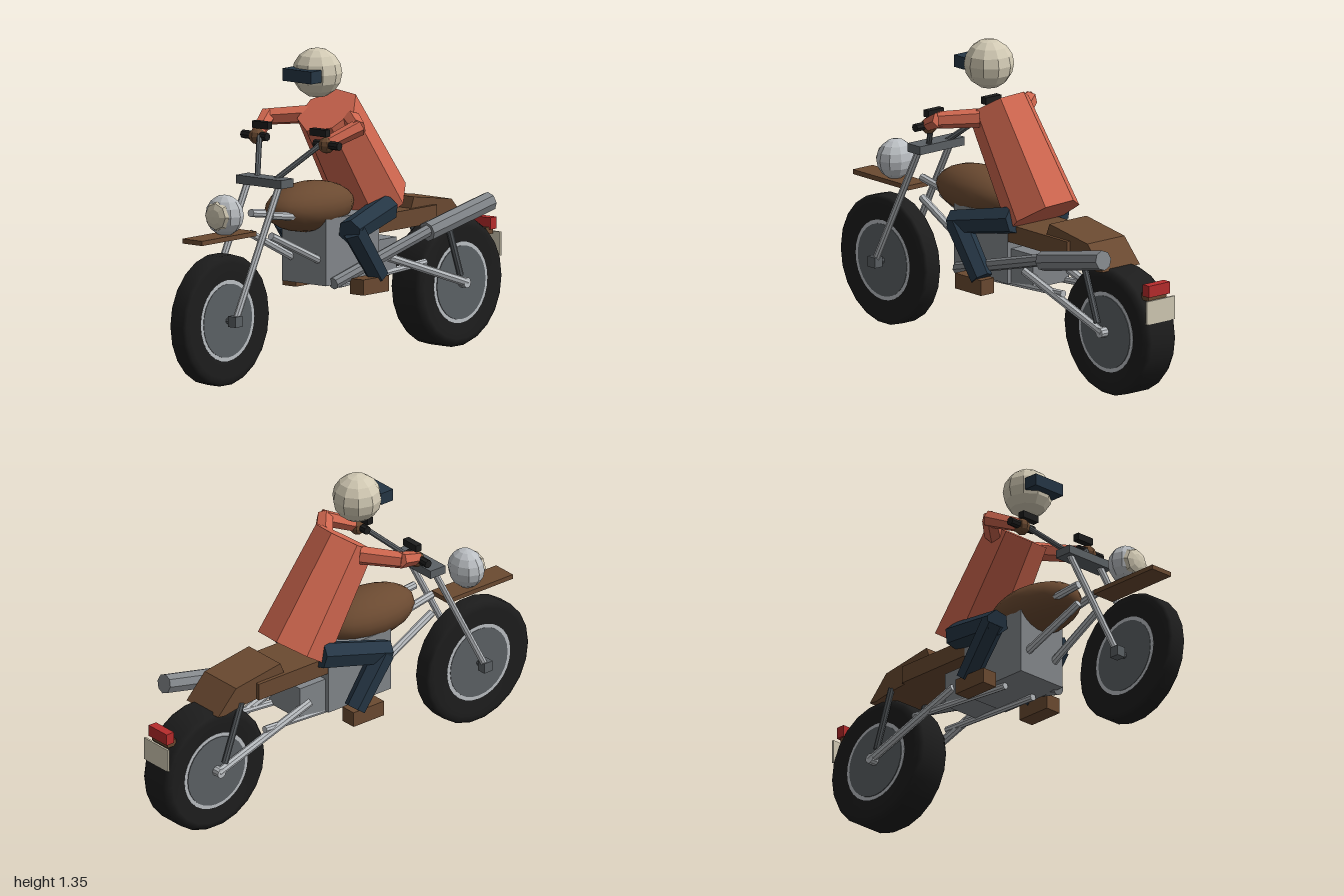
import * as THREE from 'three';

const mat = (name, color) => {
  const m = new THREE.MeshStandardMaterial({ color });
  m.name = name;
  return m;
};

export function createModel() {
  const black = mat('black rubber', 0x1d1d1d), chrome = mat('chrome', 0xbcc0c4),
    grey = mat('engine grey', 0x83878b), steel = mat('dark steel', 0x5c6165),
    brown = mat('brown', 0x6b4a31), orange = mat('orange cloth', 0xd0674f),
    navy = mat('navy cloth', 0x253645), cream = mat('cream', 0xd2cab4), red = mat('red', 0xb82c2c);

  const model = new THREE.Group();
  const V = (x, y, z) => new THREE.Vector3(x, y, z);

  // Adds a mesh; faceted parts get one normal per face
  function add(name, geo, material, pos = [0, 0, 0], smooth = false) {
    if (!smooth) {
      geo = geo.index ? geo.toNonIndexed() : geo;
      geo.computeVertexNormals();
    }
    const mesh = new THREE.Mesh(geo, material);
    mesh.name = name;
    mesh.position.set(...pos);
    model.add(mesh);
    return mesh;
  }
  const box = (name, size, pos, material) => add(name, new THREE.BoxGeometry(...size), material, pos);

  // Cylinder from point a to point b
  function rod(name, a, b, ra, rb, sides, material, turn = 0) {
    const p = V(...a), q = V(...b), dir = q.clone().sub(p);
    const geo = new THREE.CylinderGeometry(rb, ra, dir.length(), sides).rotateY(turn);
    const mesh = add(name, geo, material, p.clone().add(q).multiplyScalar(0.5).toArray());
    mesh.quaternion.setFromUnitVectors(V(0, 1, 0), dir.normalize());
    return mesh;
  }

  // Wheels: tyre, bright rim and dark disc
  function wheel(name, y, z, r, w) {
    const profile = [[0.168, -w * 0.92], [r - 0.035, -w], [r - 0.012, -w * 0.95], [r, -w * 0.72],
      [r, w * 0.72], [r - 0.012, w * 0.95], [r - 0.035, w], [0.168, w * 0.92]]
      .map(([px, py]) => new THREE.Vector2(px, py));
    add(name + 'Tyre', new THREE.LatheGeometry(profile, 22).rotateZ(Math.PI / 2), black, [0, y, z], true);
    add(name + 'Rim', new THREE.CylinderGeometry(0.171, 0.171, w * 1.88, 28).rotateZ(Math.PI / 2), chrome, [0, y, z]);
    add(name + 'Disc', new THREE.CylinderGeometry(0.155, 0.155, w * 1.96, 28).rotateZ(Math.PI / 2), steel, [0, y, z]);
  }
  wheel('frontWheel', 0.282, 0.724, 0.276, 0.046);
  wheel('rearWheel', 0.273, -0.728, 0.272, 0.082);
  rod('frontAxle', [-0.1, 0.282, 0.724], [0.1, 0.282, 0.724], 0.014, 0.014, 8, steel);
  rod('rearAxle', [-0.115, 0.275, -0.728], [0.115, 0.275, -0.728], 0.022, 0.022, 10, chrome);

  // Steering head and front fender
  box('forkClamp', [0.246, 0.036, 0.08], [0, 0.831, 0.436], steel);
  box('frontFender', [0.108, 0.02, 0.35], [0, 0.628, 0.725], brown);

  // Headlight
  add('headlightShell', new THREE.SphereGeometry(0.086, 10, 8).scale(1, 1, 0.83), chrome, [0, 0.718, 0.692]);
  add('headlightLens', new THREE.SphereGeometry(0.064, 8, 6).rotateX(Math.PI / 2).scale(1, 1, 0.45),
    cream, [0, 0.718, 0.738]);

  // Engine, gearbox, tank and seat
  box('engine', [0.24, 0.28, 0.34], [0, 0.51, 0.015], grey);
  box('gearbox', [0.2, 0.145, 0.17], [0, 0.447, -0.207], grey);
  add('fuelTank', new THREE.SphereGeometry(1, 18, 12).scale(0.135, 0.105, 0.24), brown, [0, 0.692, 0.15], true);
  box('seat', [0.236, 0.075, 0.48], [0, 0.59, -0.29], brown);

  // Rear fender, a side outline (z, y) given width
  const outline = new THREE.Shape([[-0.37, 0.6], [-0.4, 0.675], [-0.64, 0.638], [-0.738, 0.535],
    [-0.7, 0.53], [-0.62, 0.545], [-0.5, 0.555]].map(([z, y]) => new THREE.Vector2(-z, y)));
  add('rearFender', new THREE.ExtrudeGeometry(outline, { depth: 0.204, bevelEnabled: false })
    .translate(0, 0, -0.102).rotateY(Math.PI / 2), brown);

  // Tail lamp and blank plate
  box('tailBracket', [0.1, 0.03, 0.045], [0, 0.462, -0.945], brown);
  box('tailLamp', [0.116, 0.05, 0.04], [0, 0.492, -0.96], red);
  box('rearPlate', [0.155, 0.1, 0.009], [0, 0.405, -0.985], cream);

  // Exhaust on the left side only
  rod('exhaustPipe', [0.13, 0.378, 0.15], [0.158, 0.54, -0.44], 0.026, 0.026, 8, grey);
  rod('muffler', [0.155, 0.53, -0.42], [0.162, 0.612, -0.81], 0.042, 0.042, 8, grey);

  // Paired parts
  for (const s of [-1, 1]) {
    // Fork and handlebar
    rod('forkTube', [s * 0.086, 0.282, 0.724], [s * 0.086, 0.835, 0.436], 0.015, 0.015, 8, chrome);
    box('forkFoot', [0.042, 0.045, 0.045], [s * 0.085, 0.283, 0.724], steel);
    rod('handlebar', [s * 0.045, 0.835, 0.43], [s * 0.17, 0.985, 0.27], 0.012, 0.012, 8, steel);
    rod('grip', [s * 0.13, 0.982, 0.266], [s * 0.264, 0.982, 0.266], 0.018, 0.018, 8, black);
    box('controlBox', [0.085, 0.03, 0.03], [s * 0.158, 1.031, 0.268], black);

    // Frame
    rod('topTube', [s * 0.055, 0.693, 0.46], [s * 0.075, 0.65, 0.15], 0.017, 0.017, 8, chrome);
    rod('downTube', [s * 0.055, 0.607, 0.46], [s * 0.08, 0.44, 0.1], 0.017, 0.017, 8, chrome);
    rod('lowerRail', [s * 0.08, 0.358, 0.05], [s * 0.095, 0.39, -0.48], 0.015, 0.015, 8, chrome);
    rod('swingArm', [s * 0.1, 0.44, -0.24], [s * 0.1, 0.275, -0.735], 0.018, 0.018, 8, chrome);
    rod('rearStrut', [s * 0.1, 0.56, -0.61], [s * 0.1, 0.31, -0.7], 0.014, 0.014, 8, steel);

    // Rider limbs
    rod('upperArm', [s * 0.12, 1.05, 0.02], [s * 0.25, 1.04, 0.135], 0.04, 0.036, 6, orange);
    rod('forearm', [s * 0.25, 1.045, 0.12], [s * 0.195, 0.988, 0.255], 0.036, 0.03, 6, orange);
    add('hand', new THREE.SphereGeometry(0.035, 8, 6), brown, [s * 0.19, 0.98, 0.262]);
    rod('thigh', [s * 0.12, 0.655, -0.2], [s * 0.185, 0.595, 0.11], 0.06, 0.054, 6, navy);
    rod('shin', [s * 0.185, 0.6, 0.085], [s * 0.188, 0.39, -0.07], 0.052, 0.047, 6, navy);
    box('shoe', [0.073, 0.066, 0.165], [s * 0.184, 0.359, -0.02], brown);
  }

  // Rider torso and helmet
  rod('torso', [0, 0.66, -0.25], [0, 1.08, 0.035], 0.162, 0.136, 7, orange, -0.14);
  add('helmet', new THREE.SphereGeometry(0.105, 10, 8), cream, [0, 1.247, 0.1]);
  box('visor', [0.158, 0.052, 0.065], [0, 1.246, 0.198], navy);

  return model;
}
